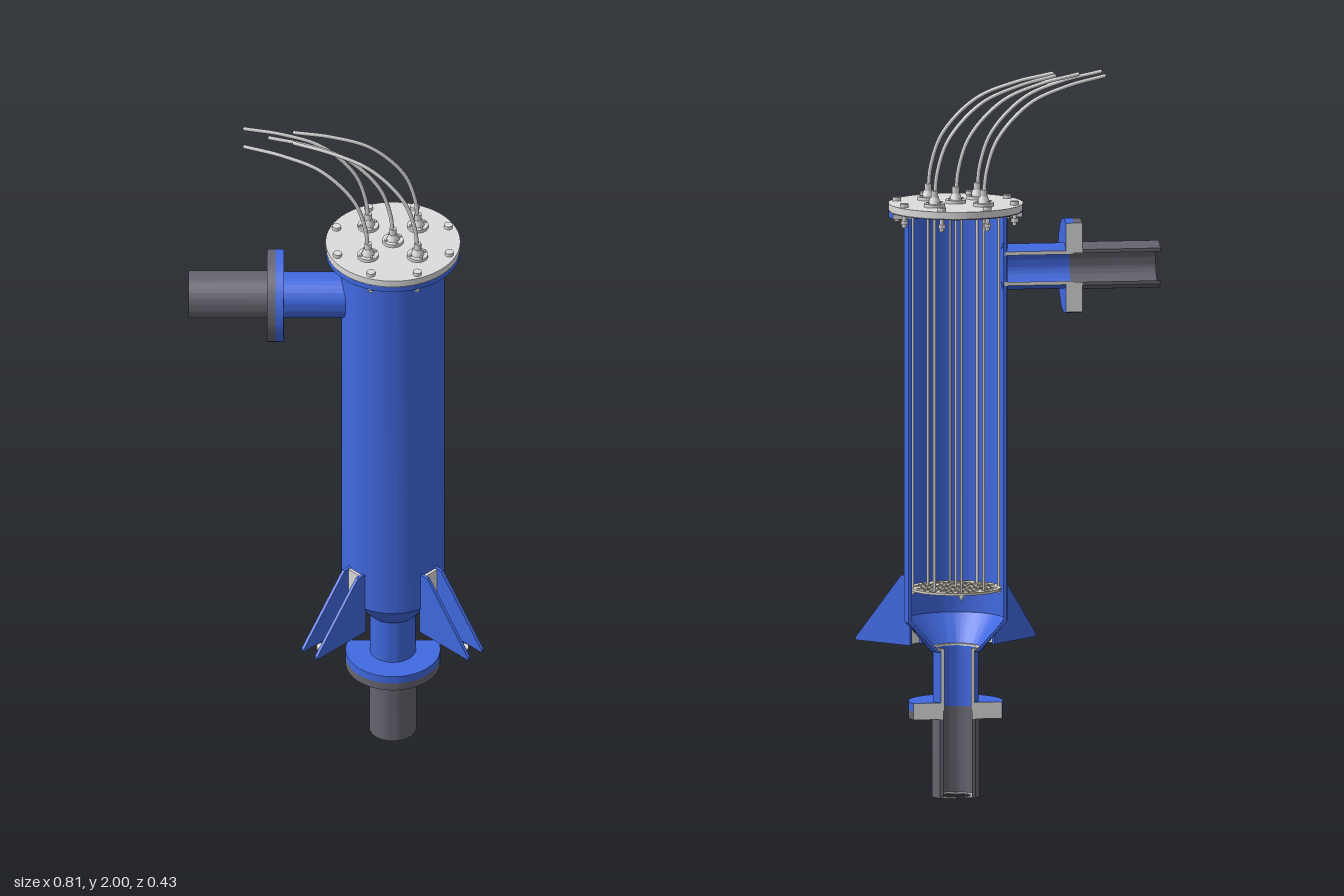
import * as THREE from 'three';
import { toCreasedNormals } from 'three/addons/utils/BufferGeometryUtils.js';

const AX = 0.154, AZ = -0.035; // vessel axis
const CUT = 0.042;             // section plane, behind the axis

const mat = (name, color) => {
  const m = new THREE.MeshStandardMaterial({ color });
  m.name = name;
  return m;
};

export function createModel() {
  const blue = mat('blue paint', 0x4169e1);
  const dark = mat('dark grey pipe', 0x66646f);
  const silver = mat('light grey steel', 0xdcdcdc);
  const cream = mat('pale plate', 0xd8d3c4);
  const model = new THREE.Group();
  const vessel = new THREE.Group();
  vessel.name = 'vessel';
  vessel.position.set(AX, 0, AZ);
  model.add(vessel);

  const add = (parent, name, geo, material, x = 0, y = 0, z = 0) => {
    const m = new THREE.Mesh(geo, material);
    m.name = name;
    m.position.set(x, y, z);
    parent.add(m);
    return m;
  };
  const rod = (parent, name, r, y0, y1, material, x, z, sides = 16, rTop = r) =>
    add(parent, name, new THREE.CylinderGeometry(rTop, r, y1 - y0, sides), material, x, (y0 + y1) / 2, z);

  // Sweep a closed (radius, y) profile around y, sliced flat at z = -CUT
  function sectioned(parent, name, profile, material, cutMaterial) {
    const N = 64, pos = [];
    const at = ([r, y], i) => {
      const a = Math.asin(CUT / r), t = -a + (Math.PI + 2 * a) * i / N;
      return [r * Math.cos(t), y, r * Math.sin(t)];
    };
    profile.forEach((p, k) => {
      const q = profile[(k + 1) % profile.length];
      for (let i = 0; i < N; i++) {
        pos.push(...at(p, i), ...at(q, i), ...at(q, i + 1), ...at(p, i), ...at(q, i + 1), ...at(p, i + 1));
      }
    });
    const wall = pos.length / 3;
    const flat = profile.map((p) => new THREE.Vector2(at(p, 0)[0], p[1]));
    for (const [a, b, c] of THREE.ShapeUtils.triangulateShape(flat, [])) {
      for (const i of [c, b, a]) pos.push(...at(profile[i], 0));
      for (const i of [a, b, c]) pos.push(...at(profile[i], N));
    }
    let geo = new THREE.BufferGeometry();
    geo.setAttribute('position', new THREE.Float32BufferAttribute(pos, 3));
    geo = toCreasedNormals(geo, 0.4);
    geo.clearGroups();
    geo.addGroup(0, wall, 0);
    geo.addGroup(wall, pos.length / 3 - wall, 1);
    return add(parent, name, geo, [material, cutMaterial]);
  }
  const ring = (ri, ro, y0, y1) => [[ri, y0], [ro, y0], [ro, y1], [ri, y1]];

  // Shell with conical bottom
  sectioned(vessel, 'shell', [[0.064, 0.405], [0.072, 0.405], [0.142, 0.487], [0.142, 1.61],
    [0.134, 1.61], [0.134, 0.491]], blue, blue);
  sectioned(vessel, 'shellFlange', ring(0.134, 0.184, 1.608, 1.623), blue, silver);
  sectioned(vessel, 'outletLip', ring(0.056, 0.066, 0.409, 0.415), silver, silver);

  // Pipe stub, flange pair and connecting pipe
  function nozzle(name, start, face, end) {
    const g = new THREE.Group();
    g.name = name;
    sectioned(g, name + 'Stub', ring(0.056, 0.063, start, face - 0.01), blue, silver);
    sectioned(g, name + 'Flange', ring(0.056, 0.13, face - 0.023, face), blue, silver);
    sectioned(g, name + 'MatingFlange', ring(0.058, 0.13, face, face + 0.023), dark, silver);
    sectioned(g, name + 'Pipe', ring(0.058, 0.065, face + 0.023, end), dark, dark);
    vessel.add(g);
    return g;
  }
  const side = nozzle('sideNozzle', 0.13, 0.322, 0.561);
  side.rotation.z = Math.PI / 2;
  side.position.y = 1.465;
  // Bottom nozzle points down, turned about z so the slice stays at the back
  const bottom = nozzle('bottomNozzle', 0.0, 0.168, 0.41);
  bottom.rotation.z = Math.PI;
  bottom.position.y = 0.41;
  sectioned(vessel, 'bottomPipeEnd', ring(0.0421, 0.058, 0, 0.003), silver, silver);

  // Lid with bolts
  rod(vessel, 'lid', 0.185, 1.627, 1.645, silver, 0, 0, 64);
  rod(vessel, 'gasket', 0.184, 1.623, 1.627, dark, 0, 0, 64);
  for (let k = 0; k < 8; k++) {
    const a = (21 + 45 * k) * Math.PI / 180;
    const x = 0.166 * Math.cos(a), z = 0.166 * Math.sin(a);
    rod(vessel, 'lidBoltHead', 0.012, 1.645, 1.655, silver, x, z);
    rod(vessel, 'lidBolt', 0.006, 1.588, 1.63, silver, x, z, 10);
    rod(vessel, 'lidNut', 0.011, 1.597, 1.608, silver, x, z, 6);
  }

  // Heater fittings, inner rods and bent cables
  const bend = [[0, 1.66], [-0.008, 1.74], [-0.04, 1.83], [-0.13, 1.925], [-0.235, 1.97], [-0.338, 1.995]];
  for (const [sx, sz] of [[-1, -1], [-1, 1], [1, -1], [1, 1], [0, 0]]) {
    const x = sx * 0.068, z = sz * 0.069;
    rod(vessel, 'heaterFlange', 0.029, 1.645, 1.654, silver, x, z, 24);
    rod(vessel, 'heaterFitting', 0.018, 1.654, 1.672, silver, x, z, 16, 0.011);
    rod(vessel, 'heaterCollar', 0.01, 1.672, 1.69, silver, x, z, 12);
    for (let k = 0; k < 4; k++) {
      const a = Math.PI / 4 + k * Math.PI / 2 + 0.3;
      rod(vessel, 'heaterScrew', 0.004, 1.654, 1.659, silver, x + 0.022 * Math.cos(a), z + 0.022 * Math.sin(a), 8);
    }
    rod(vessel, 'heaterRod', 0.004, 0.57, 1.63, silver, x, z, 12);
    // Cables lean towards the centre line as they run out
    const lean = sz * (sx > 0 ? 0.13 : 0.08);
    const curve = new THREE.CatmullRomCurve3(bend.map(([dx, y]) => new THREE.Vector3(x + dx, y, z + lean * dx)));
    add(vessel, 'heaterCable', new THREE.TubeGeometry(curve, 40, 0.0055, 10), silver);
    const cap = add(vessel, 'cableEnd', new THREE.SphereGeometry(0.0055, 10, 6), silver);
    cap.position.copy(curve.getPoint(1));
  }

  // Perforated plate hung on tie rods
  const disc = new THREE.Shape().absarc(0, 0, 0.125, 0, Math.PI * 2);
  const pitch = 0.029;
  for (let j = -4; j <= 4; j++) {
    for (let i = -5; i <= 5; i++) {
      const x = (i + (j & 1 ? 0.5 : 0)) * pitch, y = j * pitch * 0.866;
      if (Math.hypot(x, y) < 0.108) disc.holes.push(new THREE.Path().absarc(x, y, 0.0105, 0, Math.PI * 2, true));
    }
  }
  const plate = add(vessel, 'perforatedPlate',
    new THREE.ExtrudeGeometry(disc, { depth: 0.007, bevelEnabled: false, curveSegments: 16 }), cream, 0, 0.58, 0);
  plate.rotation.x = Math.PI / 2;
  for (let k = 0; k < 4; k++) {
    const x = 0.119 * Math.cos(k * Math.PI / 2), z = 0.119 * Math.sin(k * Math.PI / 2);
    rod(vessel, 'tieRod', 0.0035, 0.56, 1.63, silver, x, z, 10);
    rod(vessel, 'tieNut', 0.008, 0.565, 0.573, silver, x, z, 6);
  }

  // Support brackets: paired gussets, wall pad and anchor
  const gusset = new THREE.Shape([[0.135, 0.408], [0.323, 0.408], [0.323, 0.416], [0.165, 0.602], [0.135, 0.602]]
    .map(([r, y]) => new THREE.Vector2(r, y)));
  const gussetGeo = new THREE.ExtrudeGeometry(gusset, { depth: 0.009, bevelEnabled: false });
  for (const [name, turn] of [['left', -Math.PI / 4], ['right', -3 * Math.PI / 4]]) {
    const leg = new THREE.Group();
    leg.name = name + 'Bracket';
    leg.rotation.y = turn;
    vessel.add(leg);
    for (const s of [-1, 1]) add(leg, 'gusset', gussetGeo, blue, 0, 0, s * 0.026 - 0.0045);
    add(leg, 'wallPad', new THREE.BoxGeometry(0.008, 0.19, 0.043), silver, 0.146, 0.505, 0);
    rod(leg, 'anchor', 0.016, 0.408, 0.414, silver, 0.273, 0, 24);
  }
  return model;
}
